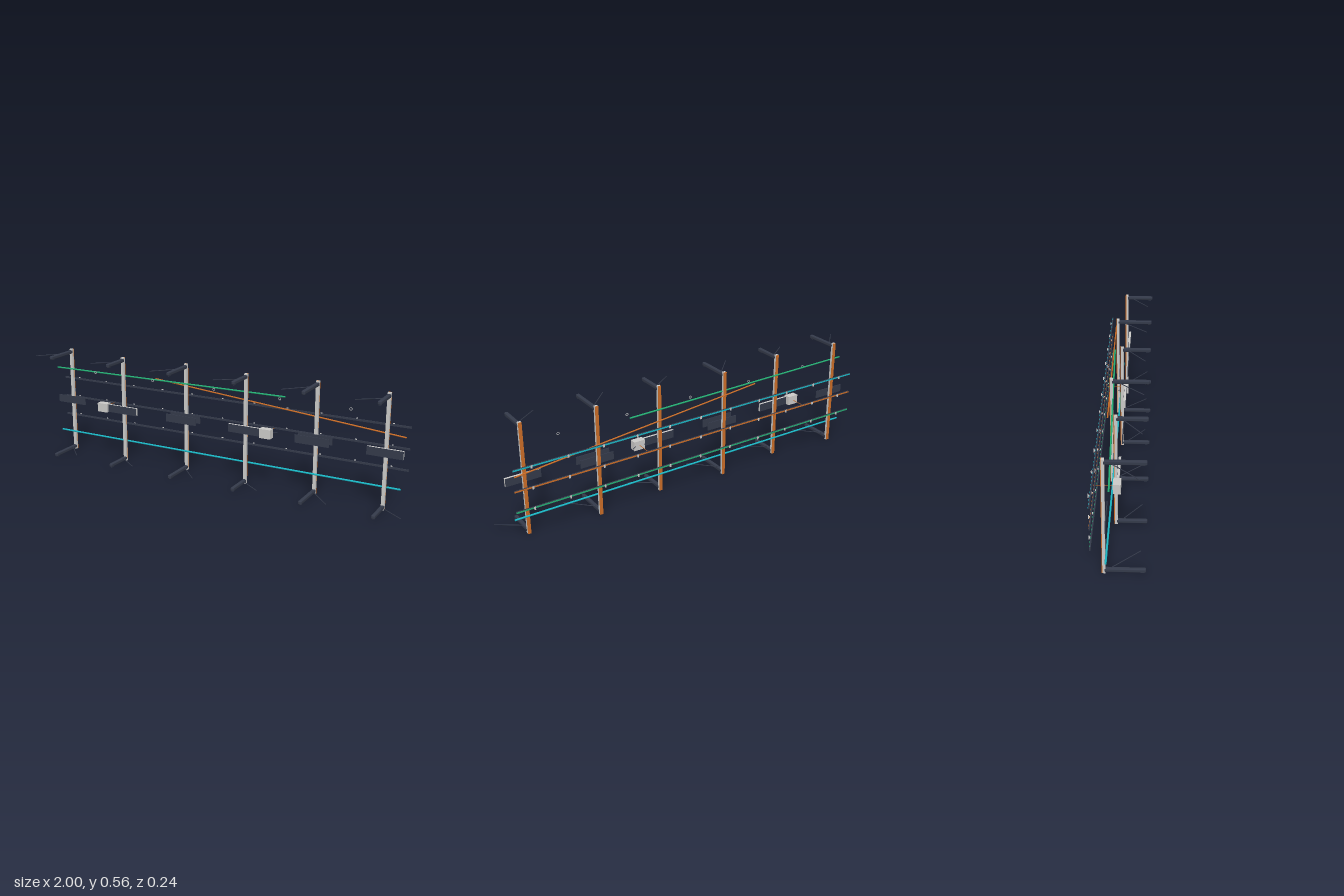
import * as THREE from 'three';
import { RoundedBoxGeometry } from 'three/addons/geometries/RoundedBoxGeometry.js';

const material = (name, color) => {
  const m = new THREE.MeshStandardMaterial({ color });
  m.name = name;
  return m;
};

export function createModel() {
  const model = new THREE.Group();
  model.name = 'cableRackFrame';
  const steel = material('pale steel', 0xcbcac8);
  const dark = material('dark slate', 0x343a4a);
  const copper = material('copper', 0xcb6d27);
  const green = material('green', 0x24b074);
  const teal = material('teal', 0x1ab8c6);

  const add = (parent, name, geometry, mat, x = 0, y = 0, z = 0) => {
    const mesh = new THREE.Mesh(geometry, mat);
    mesh.name = name;
    mesh.position.set(x, y, z);
    parent.add(mesh);
    return mesh;
  };
  const box = (parent, name, size, pos, mat) =>
    add(parent, name, new THREE.BoxGeometry(...size), mat, ...pos);
  // Round bar between two points
  const rod = (parent, name, a, b, radius, mat) => {
    const from = new THREE.Vector3(...a), to = new THREE.Vector3(...b);
    const dir = to.clone().sub(from);
    const mesh = add(parent, name, new THREE.CylinderGeometry(radius, radius, dir.length(), 10), mat);
    mesh.position.copy(from).add(to).multiplyScalar(0.5);
    mesh.quaternion.setFromUnitVectors(new THREE.Vector3(0, 1, 0), dir.normalize());
    return mesh;
  };

  const pitch = 0.352, panelY = 0.281;

  // Posts alternate between a rear and a front plane
  for (let i = 0; i < 6; i++) {
    const x = (i - 2.5) * pitch;
    const rear = i % 2 === 0;
    const z = rear ? -0.0565 : -0.0205;
    const bay = new THREE.Group();
    bay.name = 'postBay' + (i + 1);
    model.add(bay);

    box(bay, 'post', [0.016, 0.558, 0.013], [x, 0.279, z], steel);
    box(bay, 'postBackStrip', [0.016, 0.558, 0.003], [x, 0.279, z - 0.008], copper);

    // Upper and lower arms, each with a thin sideways brace
    for (const [y, side] of [[0.543, -1], [0.015, 1]]) {
      const length = 0.12 - z;
      add(bay, 'arm', new RoundedBoxGeometry(0.018, 0.018, length, 2, 0.005), dark, x, y, z + length / 2);
      box(bay, 'armFoot', [0.01, 0.004, 0.016], [x, y - 0.0095, 0.105], dark);
      const by = side < 0 ? 0.538 : 0.024;
      rod(bay, 'brace', [x, by, z + 0.03], [x + side * 0.118, by, 0.095], 0.002, dark);
    }

    // Panels: thin plates on rear posts, steel cores with dark faces on front posts
    if (rear) box(bay, 'rearPanel', [0.172, 0.04, 0.004], [x, panelY, -0.045], dark);
    else {
      box(bay, 'panelCore', [0.172, 0.04, 0.011], [x, panelY, -0.007], steel);
      for (const s of [-1, 1])
        box(bay, 'panelFace', [0.172, 0.04, 0.001], [x, panelY, -0.007 + s * 0.006], dark);
    }
    if (i === 2 || i === 4) box(bay, 'frontPanel', [0.172, 0.04, 0.004], [x, panelY, -0.003], dark);
  }

  // Three long rails behind the posts, with clips
  for (const [y, mat] of [[0.383, teal], [0.28, copper], [0.177, green]]) {
    const rail = new THREE.Group();
    rail.name = 'rail';
    model.add(rail);
    box(rail, 'railBar', [1.93, 0.009, 0.006], [0, y, -0.107], dark);
    box(rail, 'railStripe', [1.93, 0.007, 0.001], [0, y, -0.1105], mat);
    for (let i = 0; i < 11; i++) {
      const x = (i - 5) * pitch / 2;
      box(rail, 'clipNeck', [0.006, 0.005, 0.005], [x, y, -0.1125], steel);
      box(rail, 'clipPlate', [0.008, 0.014, 0.003], [x, y, -0.116], steel);
    }
  }

  // Loose lines
  rod(model, 'upperGreenLine', [-0.955, 0.456, -0.029], [0.36, 0.456, -0.066], 0.004, green);
  rod(model, 'slopingCopperLine', [-0.36, 0.456, -0.066], [0.95, 0.339, -0.087], 0.0035, copper);
  rod(model, 'lowerTealLine', [-0.955, 0.103, -0.045], [0.95, 0.103, -0.045], 0.0045, teal);

  // Guide rings between the posts
  for (let i = -2; i <= 2; i++)
    add(model, 'guideRing', new THREE.TorusGeometry(0.006, 0.0014, 6, 16), steel, i * pitch, 0.456, -0.024);

  // Junction boxes tied back to the middle rail
  for (const x of [-0.648, 0.29]) {
    box(model, 'junctionBox', [0.058, 0.046, 0.034], [x, 0.28, -0.011], steel);
    rod(model, 'junctionTie', [x, 0.28, -0.027], [x, 0.28, -0.105], 0.0013, copper);
  }
  for (const s of [-1, 1])
    rod(model, 'junctionStay', [0.29 + s * 0.022, 0.28, -0.026], [0.29 + s * 0.045, 0.28, -0.043], 0.0018, dark);

  return model;
}
